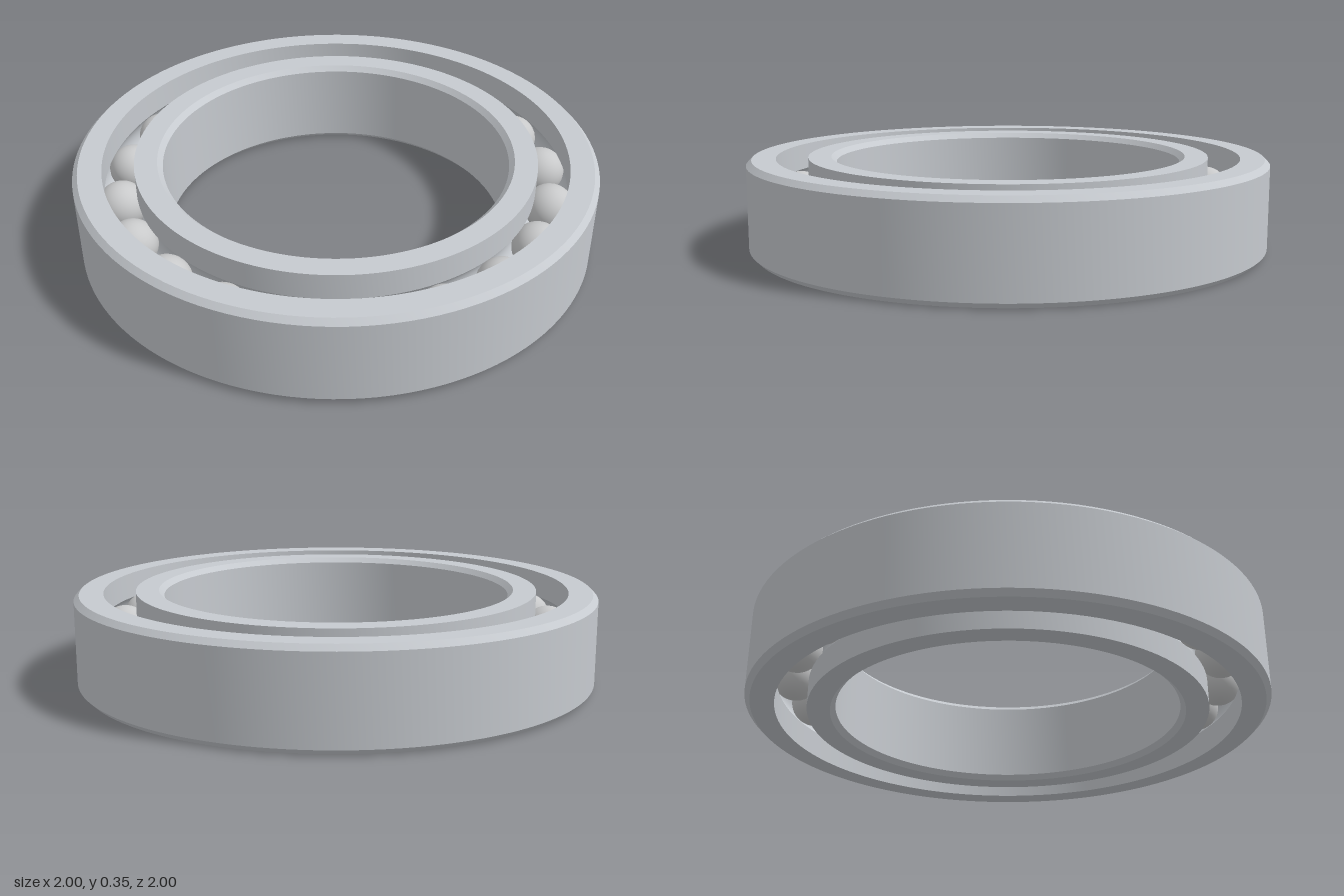
import * as THREE from 'three';
import { toCreasedNormals } from 'three/addons/utils/BufferGeometryUtils.js';

const HEIGHT = 0.354, MID = HEIGHT / 2, CHAMFER = 0.02;
const PITCH = 0.83;          // radius of the circle of ball centres
const BALL = 0.094, GROOVE = 0.096, BALL_COUNT = 20;

// Arc of the ball groove, on the outer (start 0) or inner (start PI) side
function groove(start) {
  const half = Math.acos(0.06 / GROOVE), steps = 14, points = [];
  for (let i = 0; i <= steps; i++) {
    const a = start + half - (2 * half * i) / steps;
    points.push([PITCH + GROOVE * Math.cos(a), MID + GROOVE * Math.sin(a)]);
  }
  return points;
}

// Closed profile revolved about y, with crisp edges
function ring(name, profile, material) {
  const points = [...profile, profile[0]].map(([x, y]) => new THREE.Vector2(x, y));
  const geometry = toCreasedNormals(new THREE.LatheGeometry(points, 128), 0.4);
  const mesh = new THREE.Mesh(geometry, material);
  mesh.name = name;
  return mesh;
}

export function createModel() {
  const steel = new THREE.MeshStandardMaterial({ color: 0xc6cacf });
  steel.name = 'ring steel';
  const ballSteel = new THREE.MeshStandardMaterial({ color: 0xc8c9ca });
  ballSteel.name = 'ball steel';

  const model = new THREE.Group();
  model.name = 'ballBearing';

  // Outer race: chamfered outside, grooved inside
  model.add(ring('outerRace', [
    [0.89, 0], [1 - CHAMFER, 0], [1, CHAMFER],
    [1, HEIGHT - CHAMFER], [1 - CHAMFER, HEIGHT], [0.89, HEIGHT],
    ...groove(0),
  ], steel));

  // Inner race: grooved outside, chamfered bore
  model.add(ring('innerRace', [
    [0.77, 0], ...groove(Math.PI), [0.77, HEIGHT],
    [0.663 + CHAMFER, HEIGHT], [0.663, HEIGHT - CHAMFER],
    [0.663, CHAMFER], [0.663 + CHAMFER, 0],
  ], steel));

  // Balls evenly spaced in the groove
  const balls = new THREE.Group();
  balls.name = 'balls';
  const ballGeometry = new THREE.SphereGeometry(BALL, 32, 20);
  for (let i = 0; i < BALL_COUNT; i++) {
    const a = (i / BALL_COUNT) * Math.PI * 2;
    const ball = new THREE.Mesh(ballGeometry, ballSteel);
    ball.name = 'ball';
    ball.position.set(PITCH * Math.cos(a), MID, PITCH * Math.sin(a));
    balls.add(ball);
  }
  model.add(balls);
  return model;
}
